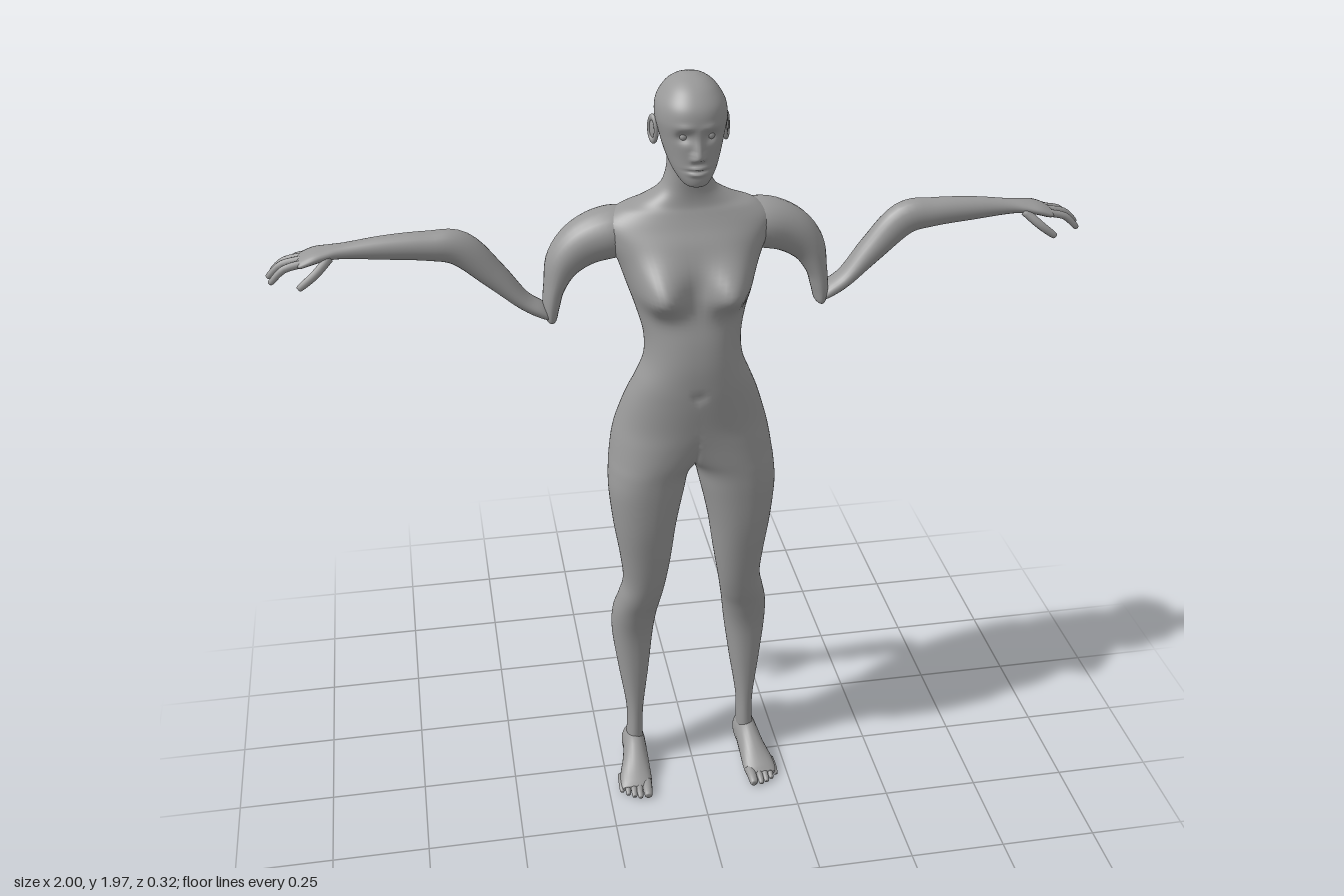
import * as THREE from 'three';
import { mergeGeometries } from 'three/addons/utils/BufferGeometryUtils.js';

const skin = new THREE.MeshStandardMaterial({ color: 0x999999 });
skin.name = 'grey skin';

const bell = (d, w) => Math.exp(-(d * d) / (w * w));

// Catmull-Rom through rows of numbers, k steps between neighbours
function smooth(rows, k) {
  const out = [];
  const at = i => rows[Math.max(0, Math.min(rows.length - 1, i))];
  for (let i = 0; i < rows.length - 1; i++) {
    for (let s = 0; s < k; s++) {
      const t = s / k;
      out.push(at(i).map((b, c) => {
        const a = at(i - 1)[c], d = at(i + 1)[c], e = at(i + 2)[c];
        return b + 0.5 * t * (d - a + t * (2 * a - 5 * b + 4 * d - e + t * (3 * (b - d) + e - a)));
      }));
    }
  }
  out.push(rows[rows.length - 1]);
  return out;
}

// Skin over closed rings of points; faces lying in the x = 0 plane can be left out
function loft(rings, dropMiddle = false) {
  const n = rings[0].length, pts = rings.flat(), index = [];
  const face = (...f) => {
    if (!(dropMiddle && f.every(i => pts[i].x < 1e-5))) index.push(...f);
  };
  for (let i = 0; i < rings.length - 1; i++) {
    for (let j = 0; j < n; j++) {
      const a = i * n + j, b = i * n + (j + 1) % n;
      face(a, a + n, b);
      face(b, a + n, b + n);
    }
  }
  const last = (rings.length - 1) * n;
  for (const start of [0, last]) {
    const mid = new THREE.Vector3();
    for (let j = 0; j < n; j++) mid.addScaledVector(pts[start + j], 1 / n);
    const m = pts.push(mid) - 1;
    for (let j = 0; j < n; j++) {
      const a = start + j, b = start + (j + 1) % n;
      if (start === 0) face(a, b, m); else face(b, a, m);
    }
  }
  const g = new THREE.BufferGeometry().setFromPoints(pts);
  g.setIndex(index);
  g.computeVertexNormals();
  return g;
}

// Horizontal ring from [y, inner x, outer x, front z, back z]
function ring([y, inner, outer, front, back], n) {
  const bend = v => Math.sign(v) * Math.abs(v) ** 0.9;
  return Array.from({ length: n }, (_, j) => {
    const t = j / n * Math.PI * 2;
    return new THREE.Vector3(
      (inner + outer) / 2 + (outer - inner) / 2 * bend(Math.cos(t)), y,
      (front + back) / 2 + (front - back) / 2 * bend(Math.sin(t)));
  });
}

// Limb along rows of [x, y, z, radius across, radius along ref]
function limb(rows, ref = new THREE.Vector3(0, 0, 1), k = 5, n = 24) {
  const path = smooth(rows, k), pos = path.map(r => new THREE.Vector3(r[0], r[1], r[2]));
  return loft(path.map((r, i) => {
    const T = pos[Math.min(i + 1, pos.length - 1)].clone().sub(pos[Math.max(i - 1, 0)]).normalize();
    const V = ref.clone().addScaledVector(T, -ref.dot(T)).normalize();
    const U = T.clone().cross(V);
    return Array.from({ length: n }, (_, j) => {
      const t = j / n * Math.PI * 2;
      const p = pos[i].clone().addScaledVector(U, r[3] * Math.cos(t)).addScaledVector(V, r[4] * Math.sin(t));
      p.y = Math.max(0, p.y);
      return p;
    });
  }));
}

// Finger or toe with a rounded tip
function digit(a, m, b, r, ref) {
  const end = b.map((v, i) => v + (v - m[i]) * 0.12);
  return limb([[...a, r, r], [...m, r * 0.95, r * 0.95], [...b, r * 0.75, r * 0.75], [...end, r * 0.2, r * 0.2]], ref, 4, 12);
}

function mirrored(geo) {
  const g = geo.clone().scale(-1, 1, 1);
  const ix = g.index.array;
  for (let i = 0; i < ix.length; i += 3) [ix[i], ix[i + 1]] = [ix[i + 1], ix[i]];
  const nor = geo.attributes.normal;
  for (let i = 0; i < nor.count; i++) g.attributes.normal.setXYZ(i, -nor.getX(i), nor.getY(i), nor.getZ(i));
  return g;
}

// One side of the trunk with its leg, from ankle to neck
function bodyHalf() {
  const leg = [
    [0.04, 0.135, 0.185, 0.0, -0.075], [0.1, 0.135, 0.178, 0.0, -0.076], [0.18, 0.132, 0.178, 0.0, -0.08],
    [0.3, 0.115, 0.195, 0.0, -0.1], [0.42, 0.1, 0.21, 0.003, -0.12], [0.5, 0.09, 0.208, 0.02, -0.105],
    [0.56, 0.08, 0.195, 0.04, -0.08], [0.62, 0.07, 0.183, 0.055, -0.066], [0.7, 0.057, 0.19, 0.07, -0.07],
    [0.8, 0.043, 0.205, 0.085, -0.088], [0.9, 0.022, 0.215, 0.092, -0.1], [0.96, 0.005, 0.213, 0.094, -0.125],
    [1.0, -0.035, 0.208, 0.096, -0.146], [1.05, -0.09, 0.2, 0.098, -0.157], [1.1, -0.15, 0.187, 0.102, -0.153]];
  const trunk = [
    [1.17, 0.165, 0.11, -0.125], [1.22, 0.145, 0.113, -0.097], [1.28, 0.122, 0.113, -0.087], [1.34, 0.12, 0.105, -0.102],
    [1.4, 0.135, 0.09, -0.127], [1.46, 0.155, 0.075, -0.148], [1.52, 0.175, 0.068, -0.158], [1.57, 0.197, 0.05, -0.158],
    [1.61, 0.205, 0.026, -0.152], [1.64, 0.17, 0.01, -0.142], [1.66, 0.118, 0.002, -0.13], [1.69, 0.07, 0.0, -0.114],
    [1.73, 0.053, 0.004, -0.106], [1.77, 0.05, 0.01, -0.105], [1.81, 0.05, 0.01, -0.1]]
    .map(([y, w, f, b]) => [y, -w, w, f, b]);
  const rings = smooth([...leg, ...trunk], 5).map(row => ring(row, 72).map(p => {
    p.x = Math.max(0, p.x);
    const mid = (row[3] + row[4]) / 2, half = (row[3] - row[4]) / 2;
    const f = Math.max(-1, Math.min(1, (p.z - mid) / half));
    const y = p.y;
    if (f > 0) {
      // breast, fuller below than above, and navel
      p.z += 0.066 * Math.min(1, f * 1.4) * bell(p.x - 0.088, 0.058) * bell(y - 1.462, y < 1.462 ? 0.043 : 0.065);
      p.z -= 0.008 * bell(p.x, 0.01) * bell(y - 1.2, 0.012);
    } else {
      // spine and seat grooves
      p.z += 0.016 * bell(p.x, 0.03) * bell(y - 1.4, 0.2) * -f;
      p.z += 0.035 * bell(p.x, 0.018) * bell(y - 1.03, 0.06) * -f;
    }
    return p;
  }));
  const g = loft(rings, true), pos = g.attributes.position, nor = g.attributes.normal;
  const v = new THREE.Vector3();
  for (let i = 0; i < pos.count; i++) {
    if (pos.getX(i) > 1e-5) continue;
    v.set(0, nor.getY(i), nor.getZ(i)).normalize();
    nor.setXYZ(i, v.x, v.y, v.z);
  }
  return g;
}

// Head with sculpted face
function headGeometry() {
  const rows = [
    [1.733, 0.012, 0.076, 0.045], [1.737, 0.028, 0.084, 0.015], [1.752, 0.042, 0.088, -0.02], [1.775, 0.055, 0.087, -0.05],
    [1.805, 0.066, 0.087, -0.085], [1.84, 0.075, 0.089, -0.108], [1.88, 0.083, 0.092, -0.122], [1.915, 0.079, 0.085, -0.12],
    [1.945, 0.061, 0.061, -0.1], [1.963, 0.04, 0.034, -0.072], [1.972, 0.018, 0.004, -0.042], [1.974, 0.003, -0.016, -0.022]];
  return loft(smooth(rows.map(([y, w, f, b]) => [y, -w, w, f, b]), 8).map(r => ring(r, 96).map(p => {
    const { x, y } = p, ax = Math.abs(x);
    if (p.z > 0) {
      p.z -= 0.013 * bell(ax - 0.031, 0.017) * bell(y - 1.853, 0.013);
      p.z += 0.004 * bell(ax - 0.03, 0.02) * bell(y - 1.877, 0.008);
      p.z += 0.021 * bell(x, y < 1.82 ? 0.012 : 0.009) * bell(y - 1.808, y < 1.808 ? 0.009 : 0.034);
      p.z += 0.006 * bell(ax - 0.012, 0.006) * bell(y - 1.804, 0.007);
      p.z += 0.008 * bell(x, 0.02) * (bell(y - 1.781, 0.005) + bell(y - 1.768, 0.006));
      p.z -= 0.005 * bell(x, 0.025) * bell(y - 1.775, 0.003);
    }
    return p;
  })));
}

export function createModel() {
  const group = new THREE.Group();
  const add = (name, geo) => {
    const m = new THREE.Mesh(geo, skin);
    m.name = name;
    group.add(m);
  };
  const pair = (name, geo) => {
    add('left' + name, geo);
    add('right' + name, mirrored(geo));
  };

  pair('BodyAndLeg', bodyHalf());
  add('head', headGeometry());

  // Eyes and ears
  pair('Eye', new THREE.SphereGeometry(0.0105, 20, 14).translate(0.031, 1.853, 0.066));
  const rim = new THREE.TorusGeometry(0.02, 0.006, 10, 28).scale(0.75, 1.35, 1);
  const bowl = new THREE.SphereGeometry(0.018, 16, 12).scale(0.75, 1.3, 0.3);
  pair('Ear', mergeGeometries([rim, bowl]).rotateY(Math.PI / 2 - 0.4).rotateX(-0.12).translate(0.086, 1.842, -0.03));

  // Arm dropping to a sharp elbow, then rising to a level forearm
  pair('UpperArm', limb([
    [0.1, 1.575, -0.078, 0.05, 0.06], [0.18, 1.577, -0.078, 0.063, 0.07], [0.25, 1.555, -0.078, 0.058, 0.062],
    [0.3, 1.51, -0.076, 0.045, 0.053], [0.325, 1.45, -0.073, 0.027, 0.047], [0.335, 1.4, -0.072, 0.021, 0.043],
    [0.337, 1.365, -0.072, 0.014, 0.036], [0.337, 1.356, -0.072, 0.004, 0.02]]));
  pair('Forearm', limb([
    [0.332, 1.367, -0.072, 0.008, 0.03], [0.36, 1.387, -0.073, 0.018, 0.036], [0.405, 1.417, -0.076, 0.021, 0.036],
    [0.47, 1.485, -0.08, 0.033, 0.037], [0.545, 1.557, -0.08, 0.042, 0.036], [0.62, 1.57, -0.079, 0.036, 0.034],
    [0.72, 1.574, -0.077, 0.029, 0.029], [0.81, 1.574, -0.074, 0.019, 0.024], [0.85, 1.572, -0.075, 0.016, 0.031],
    [0.885, 1.566, -0.077, 0.015, 0.042], [0.915, 1.555, -0.079, 0.012, 0.042], [0.925, 1.551, -0.079, 0.005, 0.036]]));
  const fingers = [
    [[0.9, 1.558, -0.11], [0.93, 1.546, -0.13], [0.955, 1.526, -0.147], 0.0085],
    [[0.905, 1.56, -0.092], [0.955, 1.547, -0.106], [0.985, 1.522, -0.115], 0.0095],
    [[0.905, 1.56, -0.072], [0.96, 1.548, -0.08], [0.994, 1.519, -0.084], 0.01],
    [[0.905, 1.558, -0.052], [0.955, 1.546, -0.053], [0.988, 1.516, -0.053], 0.0095],
    [[0.85, 1.565, -0.055], [0.885, 1.535, -0.033], [0.922, 1.507, -0.028], 0.011]];
  pair('Fingers', mergeGeometries(fingers.map(f => digit(...f))));

  // Foot from heel to ball, and toes
  const across = new THREE.Vector3(1, 0, 0);
  pair('Foot', limb([
    [0.16, 0.034, -0.092, 0.01, 0.01], [0.16, 0.036, -0.083, 0.03, 0.024], [0.16, 0.042, -0.055, 0.045, 0.032],
    [0.161, 0.046, -0.015, 0.05, 0.032], [0.165, 0.037, 0.03, 0.041, 0.036], [0.172, 0.022, 0.08, 0.027, 0.043],
    [0.175, 0.015, 0.11, 0.018, 0.043], [0.176, 0.013, 0.125, 0.01, 0.038]], across));
  const toes = [];
  for (let i = 0; i < 5; i++) {
    const r = i === 0 ? 0.0135 : 0.0095 - i * 0.0004;
    const x = i === 0 ? 0.147 : 0.153 + i * 0.0155, tip = 0.157 - i * i * 0.0022;
    toes.push(digit([x - 0.002, 0.017, tip - 0.055], [x, 0.015, tip - 0.022], [x + 0.001, r * 0.85, tip], r, across));
  }
  pair('Toes', mergeGeometries(toes));
  return group;
}
